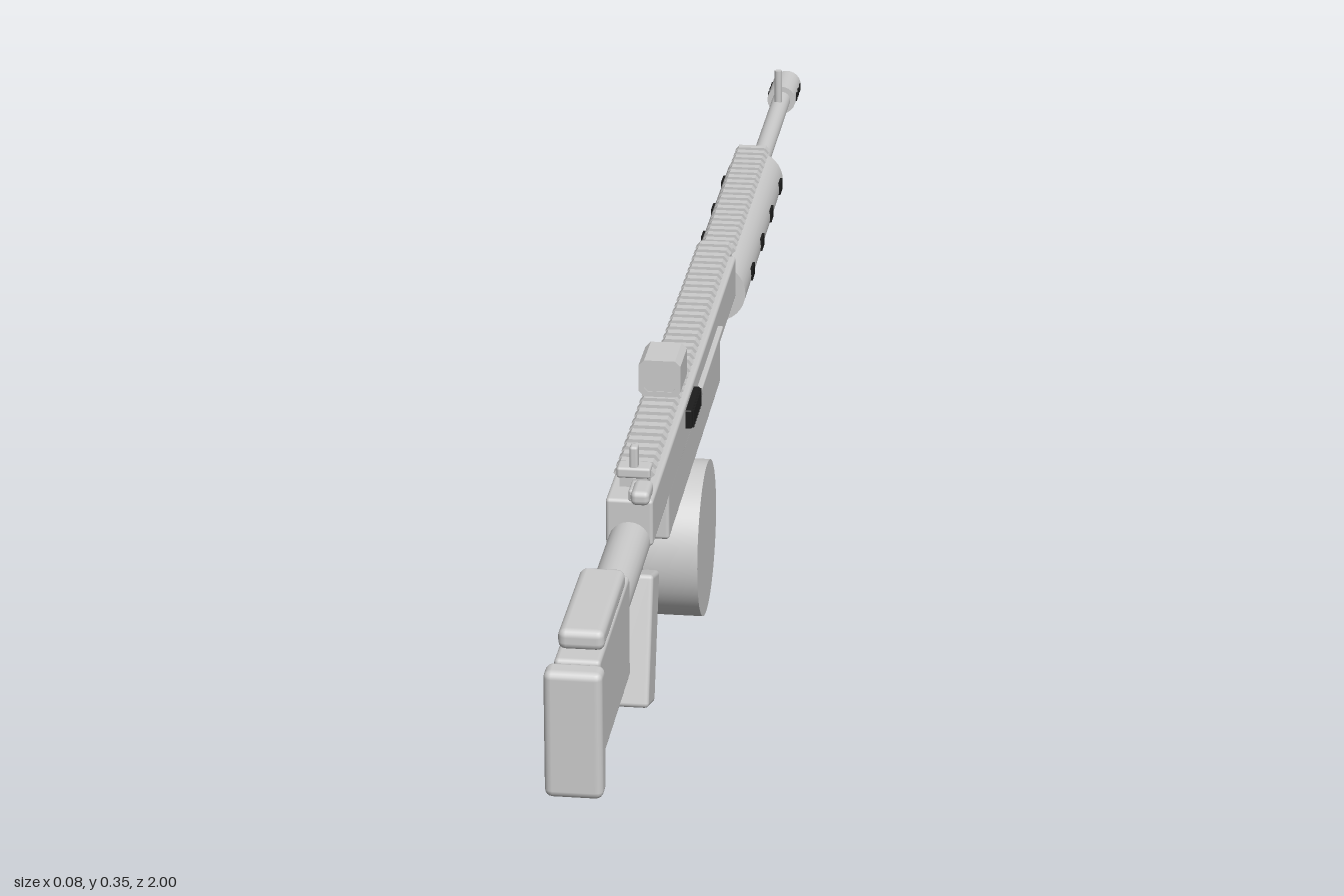
import * as THREE from 'three';
import { RoundedBoxGeometry } from 'three/addons/geometries/RoundedBoxGeometry.js';

export function createModel() {
  const root = new THREE.Group();
  root.name = 'longToyModel';
  const grey = new THREE.MeshStandardMaterial({ color: 0xcccccc });
  grey.name = 'light grey';
  const black = new THREE.MeshStandardMaterial({ color: 0x1c1c1c });
  black.name = 'black';

  const add = (name, geometry, x, y, z, material = grey, parent = root) => {
    const mesh = new THREE.Mesh(geometry, material);
    mesh.name = name;
    mesh.position.set(x, y, z);
    parent.add(mesh);
    return mesh;
  };
  // box given by its width and its y and z ranges
  const block = (name, w, y0, y1, z0, z1, r = 0.004, x = 0, material = grey) => {
    const h = y1 - y0, d = z1 - z0;
    const g = r ? new RoundedBoxGeometry(w, h, d, 2, r) : new THREE.BoxGeometry(w, h, d);
    return add(name, g, x, (y0 + y1) / 2, (z0 + z1) / 2, material);
  };
  // round bar lying along z
  const bar = (name, r, y, z0, z1, sides = 24) =>
    add(name, new THREE.CylinderGeometry(r, r, z1 - z0, sides).rotateX(Math.PI / 2), 0, y, (z0 + z1) / 2);

  // stock
  block('buttPlate', 0.058, 0.138, 0.273, 0.972, 1.0, 0.008);
  block('stockNeck', 0.036, 0.15, 0.268, 0.96, 0.98, 0);
  block('stock', 0.046, 0.16, 0.272, 0.757, 0.967, 0.005);
  block('cheekRest', 0.046, 0.27, 0.292, 0.785, 0.943, 0.008);
  bar('stockTube', 0.022, 0.238, 0.585, 0.765);

  // body
  block('upperBody', 0.05, 0.233, 0.285, -0.167, 0.595);
  block('lowerBody', 0.05, 0.184, 0.24, -0.006, 0.463);
  for (const s of [-1, 1]) block('sideSlide', 0.008, 0.255, 0.264, 0.015, 0.25, 0.002, s * 0.027);

  // ribbed cover on the left side
  block('coverPlate', 0.01, 0.256, 0.278, 0.245, 0.32, 0.002, 0.027, black);
  for (let i = 0; i < 8; i++) {
    const z = 0.249 + i * 0.009;
    block('coverRib', 0.006, 0.257, 0.277, z, z + 0.005, 0, 0.031, black);
  }

  // toothed top rails
  const rail = (name, y, z0, z1) => {
    block(name + 'Base', 0.03, y, y + 0.01, z0, z1, 0);
    const n = Math.round((z1 - z0) / 0.02), pitch = (z1 - z0) / n;
    const tooth = new THREE.Shape([
      [-0.017, 0.008], [0.017, 0.008], [0.022, 0.013], [0.017, 0.019], [-0.017, 0.019], [-0.022, 0.013],
    ].map(([a, b]) => new THREE.Vector2(a, b)));
    const g = new THREE.ExtrudeGeometry(tooth, { depth: pitch * 0.55, bevelEnabled: false });
    for (let i = 0; i < n; i++) add(name + 'Tooth', g, 0, y, z0 + (i + 0.2) * pitch);
  };
  rail('bodyRail', 0.285, -0.167, 0.56);
  rail('handguardRail', 0.27, -0.58, -0.185);

  // optic: hollow frame open toward -z
  block('opticMount', 0.034, 0.295, 0.306, 0.295, 0.345, 0.002);
  const outline = (T, w, h, c) => {
    const p = new T();
    [[-w + c, -h], [w - c, -h], [w, -h + c], [w, h - c], [w - c, h], [-w + c, h], [-w, h - c], [-w, -h + c]]
      .forEach(([x, y], i) => (i ? p.lineTo(x, y) : p.moveTo(x, y)));
    p.closePath();
    return p;
  };
  const frame = outline(THREE.Shape, 0.023, 0.021, 0.006);
  frame.holes.push(outline(THREE.Path, 0.017, 0.015, 0.004));
  add('opticFrame', new THREE.ExtrudeGeometry(frame, { depth: 0.058, bevelEnabled: false }), 0, 0.325, 0.291);
  block('opticGlass', 0.036, 0.309, 0.341, 0.3, 0.306, 0);
  block('opticBack', 0.038, 0.308, 0.342, 0.34, 0.348, 0);

  // rear sight and handle
  block('rearSightFoot', 0.036, 0.295, 0.307, 0.54, 0.562, 0.003);
  block('rearSight', 0.009, 0.3, 0.33, 0.546, 0.56, 0.003);
  block('handleStem', 0.014, 0.282, 0.296, 0.565, 0.595, 0.003, 0.006);
  block('handle', 0.02, 0.287, 0.303, 0.578, 0.617, 0.006, 0.014);

  // handguard with dark vents
  bar('handguard', 0.0365, 0.237, -0.597, -0.167, 32);
  for (const s of [-1, 1]) {
    for (const z of [-0.243, -0.35, -0.457, -0.565]) {
      block('vent', 0.006, 0.231, 0.246, z - 0.012, z + 0.012, 0, s * 0.0352, black);
    }
  }

  // barrel, muzzle and front sight
  bar('barrel', 0.012, 0.238, -0.94, -0.59);
  bar('muzzle', 0.019, 0.238, -1.0, -0.927);
  for (const s of [-1, 1]) {
    for (const z of [-0.945, -0.965, -0.985]) {
      block('muzzleSlot', 0.005, 0.233, 0.243, z - 0.005, z + 0.005, 0, s * 0.0172, black);
    }
  }
  add('frontSight', new THREE.CylinderGeometry(0.005, 0.005, 0.05, 12), 0, 0.268, -0.885);

  // drum
  add('drum', new THREE.CylinderGeometry(0.089, 0.089, 0.076, 48).rotateZ(Math.PI / 2), 0, 0.089, 0.232);

  // slanted grip and trigger
  const grip = add('grip', new RoundedBoxGeometry(0.044, 0.142, 0.055, 2, 0.005), 0, 0.114, 0.566);
  grip.rotation.x = -0.31;
  bar('triggerBar', 0.005, 0.14, 0.46, 0.55, 12);
  const curve = new THREE.CatmullRomCurve3(
    [[0.53, 0.18], [0.52, 0.172], [0.516, 0.16], [0.508, 0.148]].map(([z, y]) => new THREE.Vector3(0, y, z)));
  add('trigger', new THREE.TubeGeometry(curve, 10, 0.005, 8), 0, 0, 0);

  return root;
}
